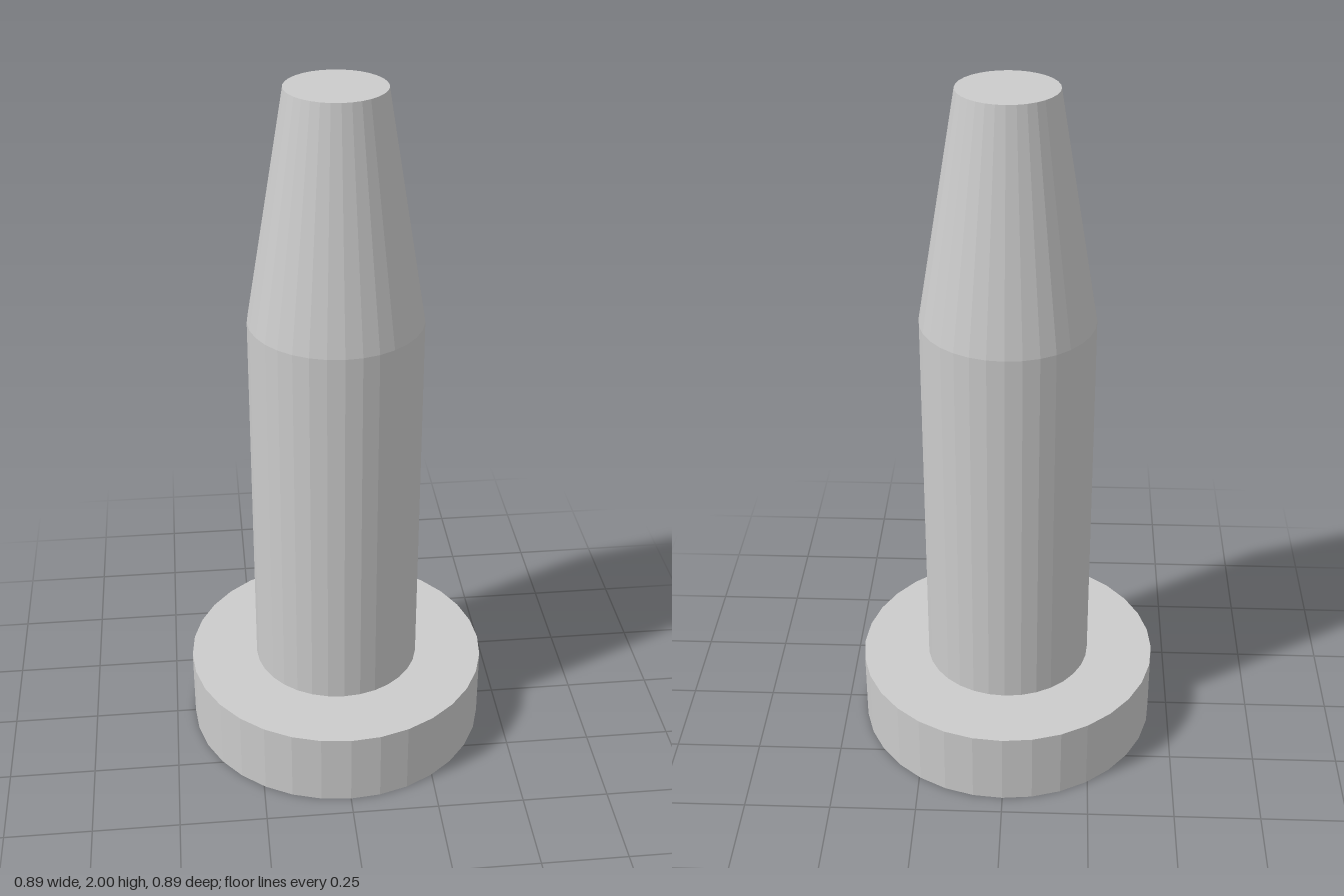
import * as THREE from 'three';

const SIDES = 32;

export function createModel() {
  const model = new THREE.Group();
  model.name = 'flangedPin';
  const material = new THREE.MeshStandardMaterial({ color: 0xcccccc, flatShading: true });

  // One solid of revolution from [radius, height] pairs
  const addTurned = (name, profile) => {
    const points = profile.map(([r, y]) => new THREE.Vector2(r, y));
    const mesh = new THREE.Mesh(new THREE.LatheGeometry(points, SIDES), material);
    mesh.name = name;
    model.add(mesh);
  };

  // Wide disc at the foot, its top face ending at the shaft
  addTurned('baseFlange', [[0, 0], [0.443, 0], [0.443, 0.22], [0.245, 0.22]]);

  // Straight shaft
  addTurned('shaft', [[0.245, 0.22], [0.245, 1.345]]);

  // Tapered tip with a flat end
  addTurned('taperedTip', [[0.245, 1.345], [0.137, 2], [0, 2]]);

  return model;
}
